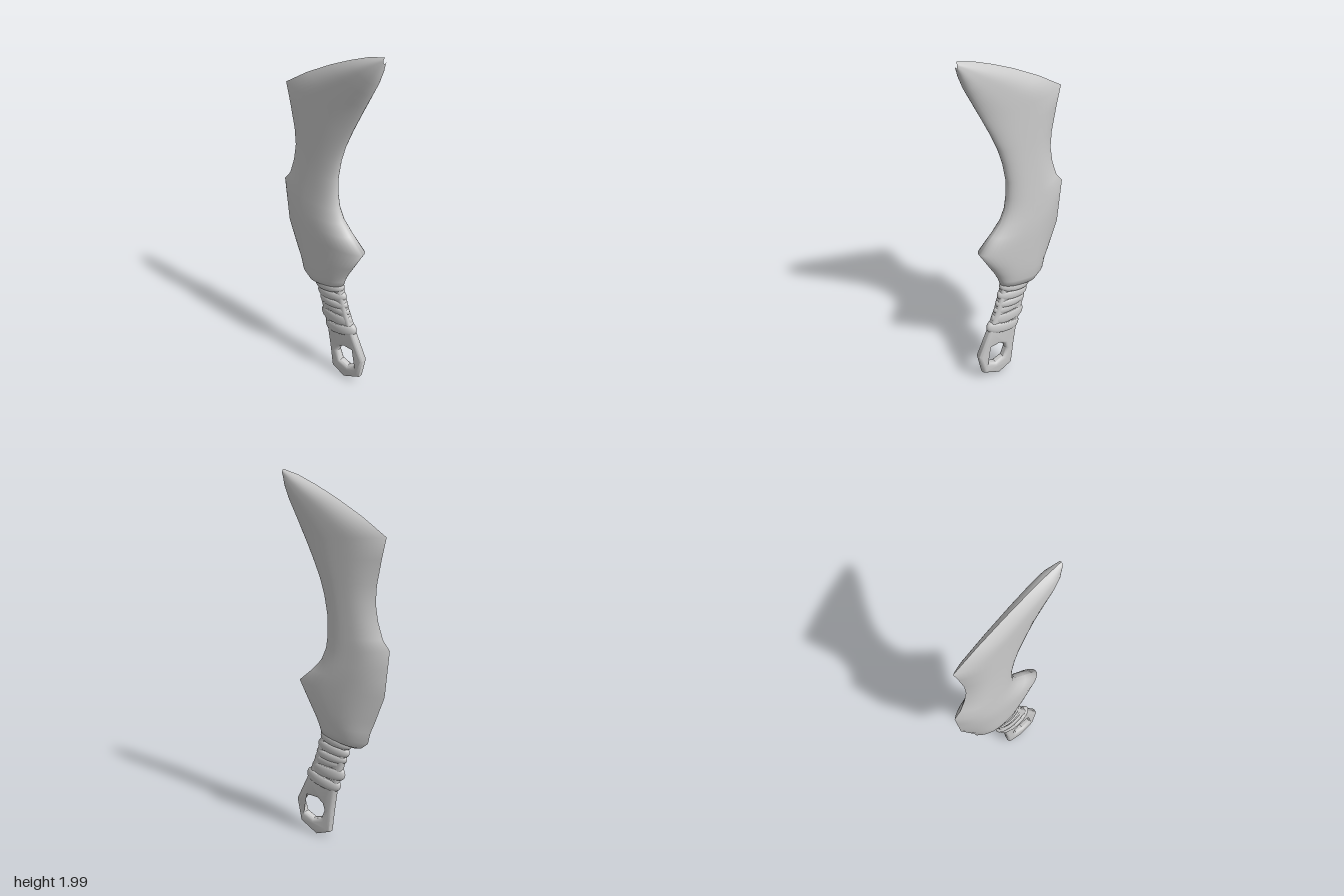
import * as THREE from 'three';
import { toCreasedNormals } from 'three/addons/utils/BufferGeometryUtils.js';

const material = new THREE.MeshStandardMaterial({ color: 0xcccccc });

// Cross-sections of the blade: spine x, y, edge x, y, half thickness
const sections = [
  [-0.12, 0.58, 0.06, 0.615, 0.012],
  [-0.16, 0.59, 0.09, 0.64, 0.045],
  [-0.20, 0.625, 0.10, 0.675, 0.053],
  [-0.215, 0.69, 0.12, 0.72, 0.058],
  [-0.24, 0.75, 0.16, 0.79, 0.062],
  [-0.295, 0.90, 0.225, 0.905, 0.066],
  [-0.303, 0.98, 0.14, 0.98, 0.066],
  [-0.31, 1.05, 0.085, 1.04, 0.063],
  [-0.32, 1.15, 0.055, 1.11, 0.059],
  [-0.28, 1.20, 0.045, 1.18, 0.055],
  [-0.25, 1.29, 0.045, 1.28, 0.050],
  [-0.235, 1.38, 0.066, 1.39, 0.046],
  [-0.24, 1.47, 0.095, 1.48, 0.045],
  [-0.265, 1.60, 0.14, 1.58, 0.044],
  [-0.29, 1.71, 0.185, 1.67, 0.044],
  [-0.15, 1.80, 0.215, 1.73, 0.044],
  [0.0, 1.88, 0.25, 1.80, 0.043],
  [0.12, 1.935, 0.28, 1.86, 0.041],
  [0.22, 1.975, 0.302, 1.92, 0.034],
  [0.315, 2.0, 0.315, 1.97, 0.012],
];

// One half of the blade, lofted through the sections; side is +1 or -1 in z
function bladeHalf(side) {
  const cols = 20, pos = [], idx = [];
  sections.forEach(([lx, ly, rx, ry, t], j) => {
    for (let i = 0; i <= cols; i++) {
      const u = -Math.cos((Math.PI * i) / cols);
      // sharper towards the spine, rounder towards the inner edge
      const z = u < 0 ? 1 - Math.pow(-u, 2.6) : Math.sqrt(Math.max(0, 1 - u ** 3));
      const k = (u + 1) / 2;
      pos.push(lx + (rx - lx) * k, ly + (ry - ly) * k, side * t * z);
      if (j && i) {
        const d = j * (cols + 1) + i, c = d - 1, b = d - cols - 1, a = b - 1;
        if (side > 0) idx.push(a, b, d, a, d, c);
        else idx.push(a, d, b, a, c, d);
      }
    }
  });
  const g = new THREE.BufferGeometry();
  g.setAttribute('position', new THREE.Float32BufferAttribute(pos, 3));
  g.setIndex(idx);
  g.computeVertexNormals();
  return g;
}

// Flat grip that ends in a ring with a faceted finger hole
function handleGeometry() {
  const points = (list) => list.map(([x, y]) => new THREE.Vector2(x, y));
  const shape = new THREE.Shape(points([
    [0.12, 0.008], [0.225, 0.065], [0.25, 0.195], [0.18, 0.345], [0.125, 0.48],
    [0.08, 0.63], [-0.08, 0.61], [-0.055, 0.48], [-0.005, 0.30], [0.013, 0.18], [0.03, 0.045],
  ]));
  shape.holes.push(new THREE.Path(points([
    [0.115, 0.235], [0.18, 0.235], [0.213, 0.185], [0.195, 0.125],
    [0.14, 0.10], [0.088, 0.115], [0.066, 0.17], [0.08, 0.212],
  ])));
  const g = new THREE.ExtrudeGeometry(shape, {
    depth: 0.016, bevelEnabled: true, bevelThickness: 0.016,
    bevelSize: 0.02, bevelOffset: -0.02, bevelSegments: 4,
  });
  g.translate(0, 0, -0.008);
  return toCreasedNormals(g, 0.7);
}

// A cord turn: a bulging flattened ring between two points of the outline
function wrap([lx, ly, rx, ry, height, depth]) {
  const radius = Math.hypot(rx - lx, ry - ly) / 2, profile = [];
  for (let i = 0; i <= 10; i++) {
    const a = -Math.PI / 2 + (Math.PI * i) / 10;
    profile.push(new THREE.Vector2(radius - 0.022 + 0.022 * Math.cos(a), (height / 2) * Math.sin(a)));
  }
  profile.unshift(new THREE.Vector2(0, -height / 2));
  profile.push(new THREE.Vector2(0, height / 2));
  const mesh = new THREE.Mesh(new THREE.LatheGeometry(profile, 32), material);
  mesh.scale.z = depth / radius;
  mesh.position.set((lx + rx) / 2, (ly + ry) / 2, 0);
  mesh.rotation.z = Math.atan2(ry - ly, rx - lx);
  return mesh;
}

export function createModel() {
  const model = new THREE.Group();
  model.name = 'knife';

  const blade = new THREE.Group();
  blade.name = 'blade';
  for (const side of [1, -1]) {
    const half = new THREE.Mesh(bladeHalf(side), material);
    half.name = side > 0 ? 'bladeFront' : 'bladeBack';
    blade.add(half);
  }
  model.add(blade);

  const handle = new THREE.Mesh(handleGeometry(), material);
  handle.name = 'handleWithRing';
  model.add(handle);

  // Cord turns from the blade down: left x, y, right x, y, height, half depth
  const wraps = new THREE.Group();
  wraps.name = 'gripWraps';
  [
    [-0.10, 0.585, 0.093, 0.625, 0.05, 0.045],
    [-0.085, 0.537, 0.11, 0.57, 0.05, 0.038],
    [-0.07, 0.497, 0.122, 0.515, 0.045, 0.038],
    [-0.05, 0.468, 0.135, 0.472, 0.045, 0.034],
    [-0.058, 0.405, 0.153, 0.42, 0.065, 0.037],
    [-0.028, 0.325, 0.185, 0.378, 0.06, 0.041],
  ].forEach((turn, i) => {
    const mesh = wrap(turn);
    mesh.name = `wrap${i + 1}`;
    wraps.add(mesh);
  });
  model.add(wraps);
  return model;
}
